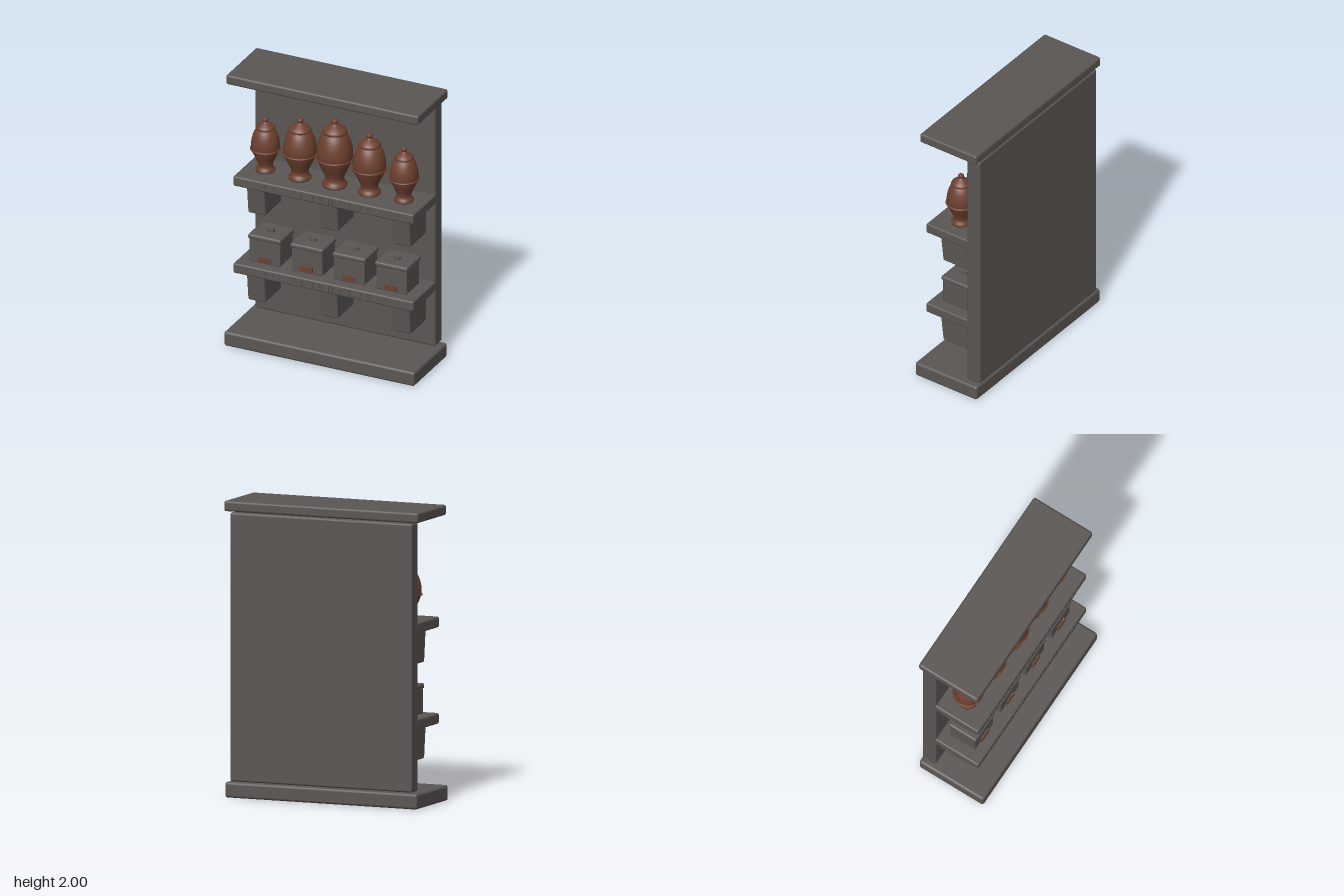
import * as THREE from 'three';
import { RoundedBoxGeometry } from 'three/addons/geometries/RoundedBoxGeometry.js';

const stone = new THREE.MeshStandardMaterial({ color: 0x5a5653 });
stone.name = 'dark stone';
const clay = new THREE.MeshStandardMaterial({ color: 0x6d4030 });
clay.name = 'terracotta';

function add(parent, name, geometry, material, x = 0, y = 0, z = 0) {
  const mesh = new THREE.Mesh(geometry, material);
  mesh.name = name;
  mesh.position.set(x, y, z);
  parent.add(mesh);
  return mesh;
}

// Rounded block given by width, bottom/top and back/front
function slab(parent, name, w, y0, y1, z0, z1, r, x = 0) {
  const geo = new RoundedBoxGeometry(w, y1 - y0, z1 - z0, 3, r);
  return add(parent, name, geo, stone, x, (y0 + y1) / 2, (z0 + z1) / 2);
}

// Bracket whose front face leans back towards the bottom
function bracket(parent, x, top) {
  const mesh = slab(parent, 'bracket', 0.13, top - 0.225, top, -0.15, 0.122, 0.012, x);
  const p = mesh.geometry.attributes.position;
  for (let i = 0; i < p.count; i++) {
    if (p.getZ(i) > 0) p.setZ(i, p.getZ(i) - 0.025 * (0.5 - p.getY(i) / 0.225));
  }
  mesh.geometry.computeVertexNormals();
}

// Row of small raised key-pattern hooks along a shelf front
function frieze(parent, y) {
  const group = new THREE.Group();
  group.name = 'shelfFrieze';
  const up = new THREE.BoxGeometry(0.007, 0.05, 0.008);
  const bar = new THREE.BoxGeometry(0.026, 0.007, 0.008);
  const tick = new THREE.BoxGeometry(0.007, 0.022, 0.008);
  for (let i = 0; i < 22; i++) {
    const x = -0.53 + i * 0.0508, s = i % 3 ? 1 : -1;
    add(group, 'friezeUpright', up, stone, x + 0.01 * s, y, 0.189);
    add(group, 'friezeBar', bar, stone, x, y + 0.0215, 0.189);
    add(group, 'friezeTick', tick, stone, x - 0.0095 * s, y + 0.008, 0.189);
  }
  parent.add(group);
}

// Lidded urn; profile is [radius, height] in fractions of full size
function urn(parent, x, height, radius) {
  const group = new THREE.Group();
  group.name = 'urn';
  const body = [[0, 0], [0.64, 0], [0.66, 0.025], [0.56, 0.06], [0.48, 0.1], [0.52, 0.16],
    [0.68, 0.25], [0.84, 0.34], [0.93, 0.42], [0.95, 0.5], [0.91, 0.59], [0.82, 0.68],
    [0.7, 0.75], [0.58, 0.79], [0.5, 0.8]];
  const lid = [[0.5, 0.79], [0.62, 0.79], [0.65, 0.81], [0.6, 0.835], [0.45, 0.865], [0.27, 0.895],
    [0.13, 0.915], [0.12, 0.93], [0.19, 0.95], [0.2, 0.97], [0.14, 0.99], [0, 1]];
  for (const [name, pts] of [['urnBody', body], ['urnLid', lid]]) {
    const profile = pts.map(([r, h]) => new THREE.Vector2(r * radius, h * height));
    add(group, name, new THREE.LatheGeometry(profile, 32), clay);
  }
  // Thin band around the belly
  const band = add(group, 'urnBand', new THREE.TorusGeometry(radius * 0.95, 0.007, 8, 40), clay, 0, height * 0.415);
  band.rotation.x = Math.PI / 2;
  group.position.set(x, 1.248, 0.012);
  parent.add(group);
}

// Stone casket with a lid, knob, clay plate and a small fan relief
function casket(parent, x) {
  const group = new THREE.Group();
  group.name = 'casket';
  slab(group, 'casketBody', 0.228, 0.6, 0.772, -0.085, 0.113, 0.008);
  slab(group, 'casketLid', 0.243, 0.768, 0.805, -0.098, 0.124, 0.014);
  add(group, 'casketKnob', new THREE.CylinderGeometry(0.026, 0.026, 0.022, 20), stone, 0, 0.814, 0.014);
  add(group, 'casketPlate', new THREE.BoxGeometry(0.088, 0.034, 0.014), clay, 0, 0.632, 0.117);
  const petal = new THREE.BoxGeometry(0.008, 0.02, 0.008);
  for (let i = 0; i < 5; i++) {
    const a = (i - 2) * 0.62;
    const ray = add(group, 'fanRay', petal, stone, Math.sin(a) * 0.03, 0.656 + Math.cos(a) * 0.022, 0.113);
    ray.rotation.z = -a;
  }
  group.position.x = x;
  parent.add(group);
}

export function createModel() {
  const model = new THREE.Group();
  model.name = 'urnShelf';

  // Main frame
  slab(model, 'base', 1.41, 0.005, 0.11, -0.253, 0.254, 0.018);
  slab(model, 'backPanel', 1.334, 0.117, 1.924, -0.252, -0.146, 0.014);
  slab(model, 'topSlab', 1.422, 1.93, 2.0, -0.254, 0.21, 0.015);

  // Shelves with brackets and carved fronts
  for (const top of [0.6, 1.248]) {
    slab(model, 'shelf', 1.334, top - 0.073, top, -0.16, 0.19, 0.012);
    frieze(model, top - 0.037);
    for (const x of [-0.537, 0, 0.537]) bracket(model, x, top - 0.073);
  }

  // Urns, tallest in the middle
  urn(model, 0, 0.497, 0.13);
  for (const side of [-1, 1]) {
    urn(model, side * 0.257, 0.443, 0.118);
    urn(model, side * 0.513, 0.393, 0.102);
  }

  // Four caskets on the lower shelf
  for (let i = 0; i < 4; i++) casket(model, -0.47 + i * 0.3125);
  return model;
}
